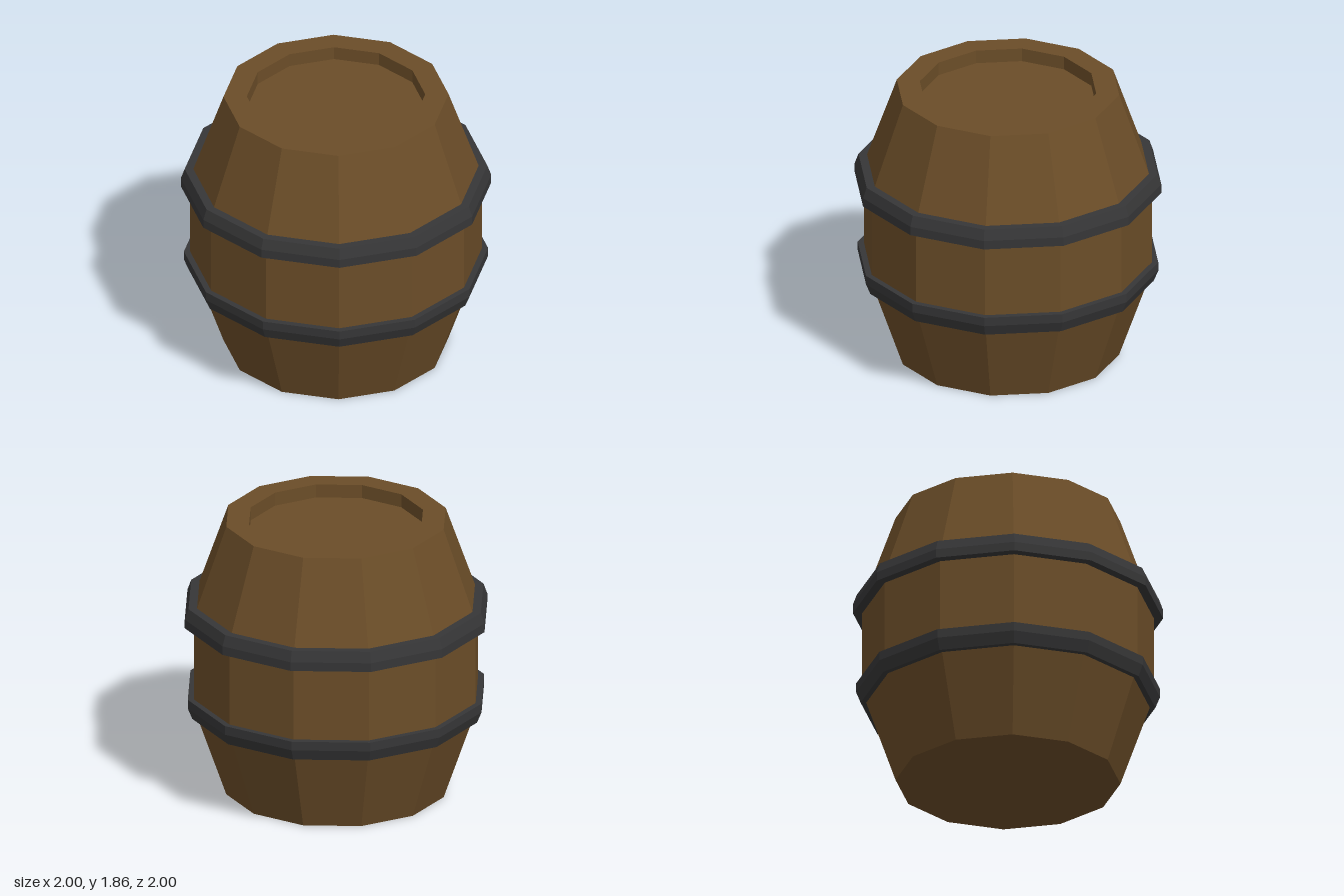
import * as THREE from 'three';

const SIDES = 12;

// Faceted solid of revolution from [radius, height] pairs listed bottom to top
function turned(name, profile, material) {
  const points = profile.map(([r, y]) => new THREE.Vector2(r, y));
  const mesh = new THREE.Mesh(new THREE.LatheGeometry(points, SIDES), material);
  mesh.name = name;
  return mesh;
}

export function createModel() {
  const wood = new THREE.MeshStandardMaterial({ color: 0x6b4d28, flatShading: true });
  const iron = new THREE.MeshStandardMaterial({ color: 0x363637, flatShading: true });
  const barrel = new THREE.Group();
  barrel.name = 'barrel';

  // Staves, flat bottom, top rim and the inner wall of the recess
  barrel.add(turned('barrelBody', [
    [0, 0], [0.725, 0], [0.94, 0.62], [0.94, 1.25],
    [0.725, 1.86], [0.575, 1.86], [0.575, 1.77],
  ], wood));

  // Sunken lid
  barrel.add(turned('lid', [[0.575, 1.77], [0, 1.77]], wood));

  // Hoops, each bevelled toward its end of the barrel; inner edges sit in the wood
  barrel.add(turned('upperHoop', [
    [0.92, 1.18], [1, 1.18], [1, 1.24], [0.975, 1.31], [0.9, 1.31],
  ], iron));
  barrel.add(turned('lowerHoop', [
    [0.89, 0.545], [0.95, 0.545], [0.98, 0.62], [0.98, 0.68], [0.92, 0.68],
  ], iron));

  return barrel;
}
